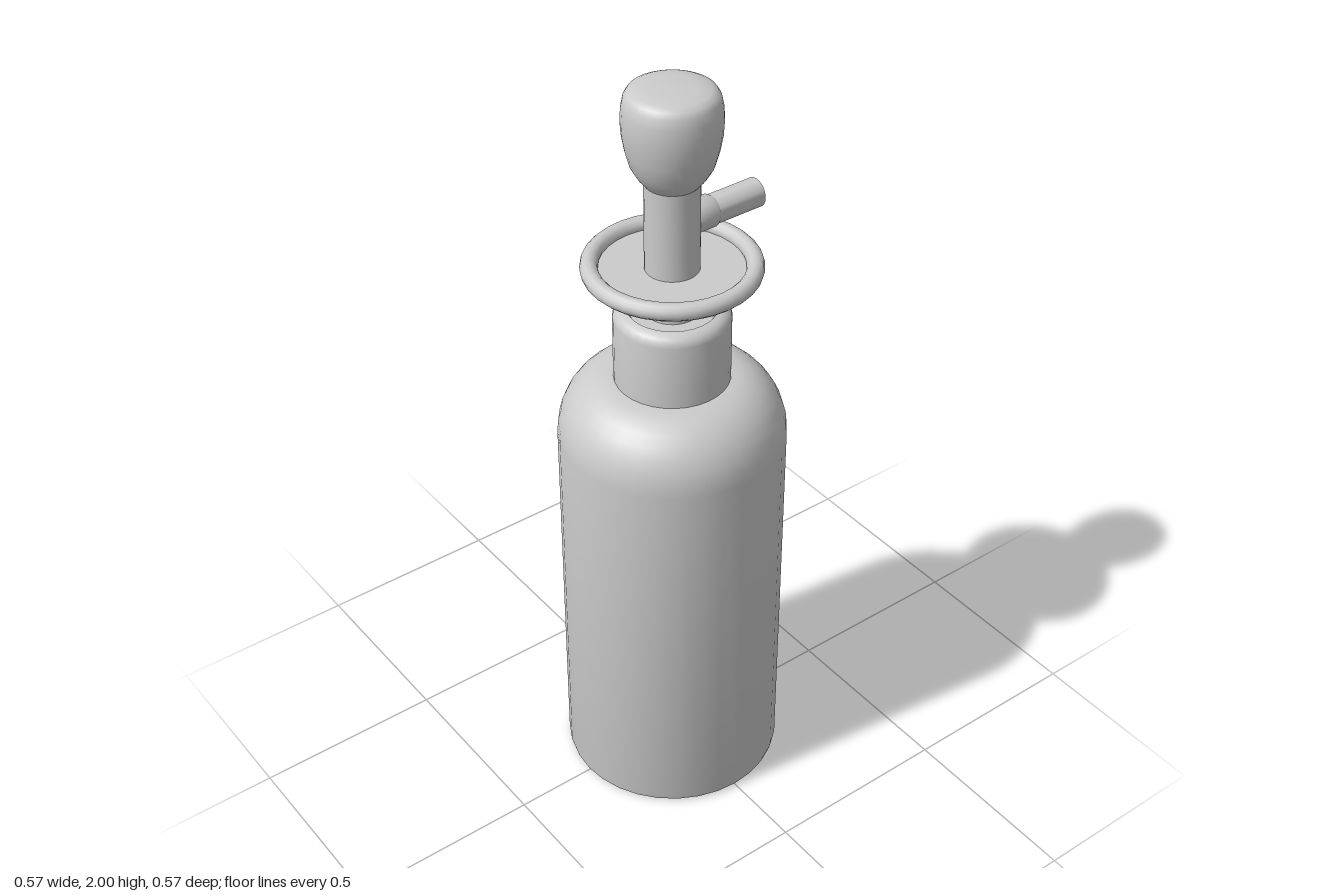
import * as THREE from 'three';
import { toCreasedNormals } from 'three/addons/utils/BufferGeometryUtils.js';

const material = new THREE.MeshStandardMaterial({ color: 0xcccccc });
const openMaterial = new THREE.MeshStandardMaterial({ color: 0xcccccc, side: THREE.DoubleSide });

// Turned part from [radius, height] pairs, listed from bottom to top
function turned(name, profile, segments = 32, mat = material) {
  const points = profile.map(([r, y]) => new THREE.Vector2(r, y));
  const geometry = toCreasedNormals(new THREE.LatheGeometry(points, segments), 0.65);
  const mesh = new THREE.Mesh(geometry, mat);
  mesh.name = name;
  return mesh;
}

// Quarter-round profile from the wall (r0, y0) in to (r1, y1)
function shoulder(r0, y0, r1, y1, steps) {
  return Array.from({ length: steps + 1 }, (_, i) => {
    const a = (i / steps) * Math.PI / 2;
    return [r1 + (r0 - r1) * Math.cos(a), y0 + (y1 - y0) * Math.sin(a)];
  });
}

export function createModel() {
  const model = new THREE.Group();
  model.name = 'bottleWithStopper';

  // Bottle body with a small base bevel and a round shoulder
  model.add(turned('body', [
    [0, 0], [0.275, 0], [0.284, 0.005], [0.287, 0.017],
    ...shoulder(0.287, 1.05, 0.145, 1.215, 8), [0.1, 1.215],
  ]));

  // Neck with a rounded lip
  model.add(turned('neck', [
    [0.145, 1.2], ...shoulder(0.145, 1.388, 0.113, 1.417, 4),
    [0.105, 1.405], [0, 1.405],
  ]));

  // Stem below the tray, and the collar that carries the tray
  model.add(turned('lowerStem', [[0.067, 1.4], [0.067, 1.49]]));
  model.add(turned('collar', [
    [0, 1.478], [0.083, 1.478], [0.088, 1.483], [0.088, 1.515],
  ]));

  // Tray plate and its round rim
  model.add(turned('trayPlate', [[0, 1.512], [0.198, 1.512], [0.198, 1.525], [0, 1.525]]));
  const rim = new THREE.Mesh(new THREE.TorusGeometry(0.198, 0.022, 12, 32), material);
  rim.name = 'trayRim';
  rim.rotation.x = Math.PI / 2;
  rim.position.y = 1.53;
  model.add(rim);

  // Upper stem and bulbous head
  model.add(turned('upperStem', [[0.067, 1.51], [0.067, 1.78]]));
  model.add(turned('head', [
    [0, 1.757], [0.067, 1.757], [0.083, 1.777], [0.099, 1.805], [0.11, 1.845],
    [0.117, 1.885], [0.119, 1.92], [0.117, 1.95], [0.112, 1.975],
    [0.104, 1.988], [0.09, 1.995], [0.06, 1.999], [0, 2],
  ]));

  // Side spout pointing to the back: a socket and an open tube
  const spout = new THREE.Group();
  spout.name = 'spout';
  spout.position.y = 1.64;
  spout.rotation.x = -Math.PI / 2;
  spout.add(turned('spoutSocket', [
    [0.041, 0.045], [0.041, 0.11], [0.037, 0.116], [0.031, 0.116],
  ], 24));
  spout.add(turned('spoutTube', [
    [0.037, 0.1], [0.037, 0.25], [0.032, 0.25], [0.032, 0.07], [0, 0.07],
  ], 24, openMaterial));
  model.add(spout);

  return model;
}
